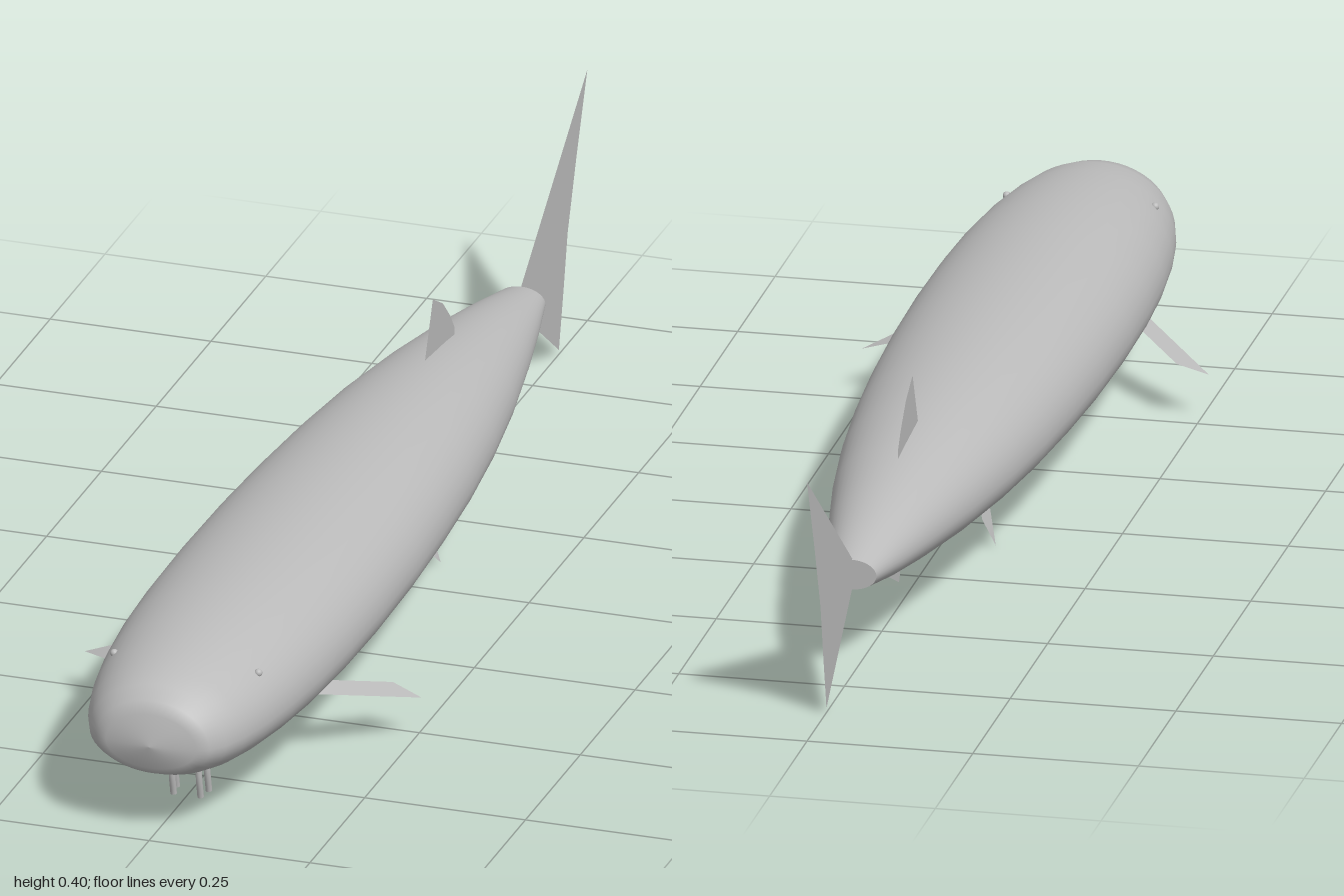
import * as THREE from 'three';

const grey = new THREE.MeshStandardMaterial({ color: 0xbbbbbb, side: THREE.DoubleSide });
grey.name = 'greySkin';

// Body stations from nose to tail: z, half width, top y, bottom y, y of the widest line
const STATIONS = [
  [1.0, 0, 0.161, 0.161, 0.161],
  [0.992, 0.07, 0.21, 0.124, 0.161],
  [0.982, 0.088, 0.228, 0.112, 0.161],
  [0.96, 0.106, 0.245, 0.102, 0.161],
  [0.92, 0.122, 0.256, 0.092, 0.161],
  [0.86, 0.137, 0.264, 0.084, 0.161],
  [0.78, 0.15, 0.271, 0.077, 0.161],
  [0.68, 0.16, 0.276, 0.071, 0.161],
  [0.56, 0.166, 0.278, 0.068, 0.161],
  [0.42, 0.168, 0.278, 0.068, 0.161],
  [0.25, 0.165, 0.277, 0.07, 0.161],
  [0.1, 0.158, 0.274, 0.073, 0.162],
  [-0.05, 0.147, 0.27, 0.078, 0.162],
  [-0.2, 0.131, 0.262, 0.086, 0.163],
  [-0.35, 0.109, 0.248, 0.097, 0.164],
  [-0.5, 0.081, 0.229, 0.113, 0.165],
  [-0.61, 0.058, 0.21, 0.128, 0.166],
  [-0.7, 0.037, 0.191, 0.145, 0.168],
];

// Smooth skin through the stations; upper and lower halves have different heights
function bodyGeometry(sides = 48) {
  const pos = [], index = [];
  STATIONS.forEach(([z, w, top, bottom, mid], i) => {
    for (let j = 0; j < sides; j++) {
      const a = (j / sides) * Math.PI * 2, s = Math.sin(a);
      pos.push(w * Math.cos(a), mid + s * (s > 0 ? top - mid : mid - bottom), z);
      if (i === STATIONS.length - 1) continue;
      const k = (j + 1) % sides;
      const p = i * sides + j, q = i * sides + k;
      if (i > 0) index.push(p, p + sides, q);
      index.push(q, p + sides, q + sides);
    }
  });
  const g = new THREE.BufferGeometry();
  g.setAttribute('position', new THREE.Float32BufferAttribute(pos, 3));
  g.setIndex(index);
  g.computeVertexNormals();
  return g;
}

// Flat fin: an outline in two dimensions, placed in space by a rule
function finGeometry(outline, place) {
  const g = new THREE.ShapeGeometry(new THREE.Shape(outline.map(([u, v]) => new THREE.Vector2(u, v))));
  const p = g.attributes.position;
  for (let i = 0; i < p.count; i++) p.setXYZ(i, ...place(p.getX(i), p.getY(i)));
  g.computeVertexNormals();
  return g;
}

export function createModel() {
  const model = new THREE.Group();
  model.name = 'fish';
  const add = (name, geometry) => {
    const mesh = new THREE.Mesh(geometry, grey);
    mesh.name = name;
    model.add(mesh);
    return mesh;
  };

  add('body', bodyGeometry());

  // Blunt end of the tail stalk
  const stump = add('tailStump', new THREE.CircleGeometry(1, 48).rotateY(Math.PI));
  stump.scale.set(0.037, 0.023, 1);
  stump.position.set(0, 0.168, -0.7);

  // Fins on the centre plane, outlined as z, y
  const upright = (z, y) => [0, y, z];
  add('tailFin', finGeometry([
    [-0.695, 0.19], [-1, 0.415], [-0.95, 0.295], [-0.91, 0.19], [-0.89, 0.1],
    [-0.87, 0.018], [-0.695, 0.148],
  ], upright));
  add('dorsalFin', finGeometry([
    [-0.25, 0.235], [-0.295, 0.34], [-0.34, 0.315], [-0.375, 0.28], [-0.393, 0.255], [-0.395, 0.22],
  ], upright));
  add('analFin', finGeometry([
    [-0.35, 0.12], [-0.36, 0.095], [-0.385, 0.048], [-0.455, 0.08], [-0.465, 0.125],
  ], upright));

  for (const [side, s] of [['left', 1], ['right', -1]]) {
    // Paired fins slant outward and downward
    add(side + 'PectoralFin', finGeometry([
      [0.13, 0.66], [0.262, 0.525], [0.215, 0.518], [0.13, 0.605],
    ], (x, z) => [s * x, 0.12 - (x - 0.14) * 0.33, z]));
    add(side + 'PelvicFin', finGeometry([
      [-0.01, 0.1], [-0.095, 0.012], [-0.106, 0.055], [-0.07, 0.1],
    ], (z, y) => [s * (0.08 - (y - 0.013) * 0.42), y, z]));

    add(side + 'Eye', new THREE.SphereGeometry(0.006, 16, 12)).position.set(s * 0.112, 0.226, 0.83);

    // Two short barbels hang under each side of the snout
    for (const [x, z] of [[0.021, 0.832], [0.025, 0.806]]) {
      const path = new THREE.CatmullRomCurve3([
        new THREE.Vector3(s * x, 0.09, z),
        new THREE.Vector3(s * x, 0.05, z + 0.002),
        new THREE.Vector3(s * x, 0.012, z - 0.006),
      ]);
      add(side + 'Barbel', new THREE.TubeGeometry(path, 10, 0.005, 10));
      const tip = add(side + 'BarbelTip', new THREE.CircleGeometry(0.005, 10).rotateX(Math.PI / 2));
      tip.position.set(s * x, 0.012, z - 0.006);
    }
  }
  // Stand the lowest point on the floor
  model.position.y = -new THREE.Box3().setFromObject(model).min.y;
  return model;
}
